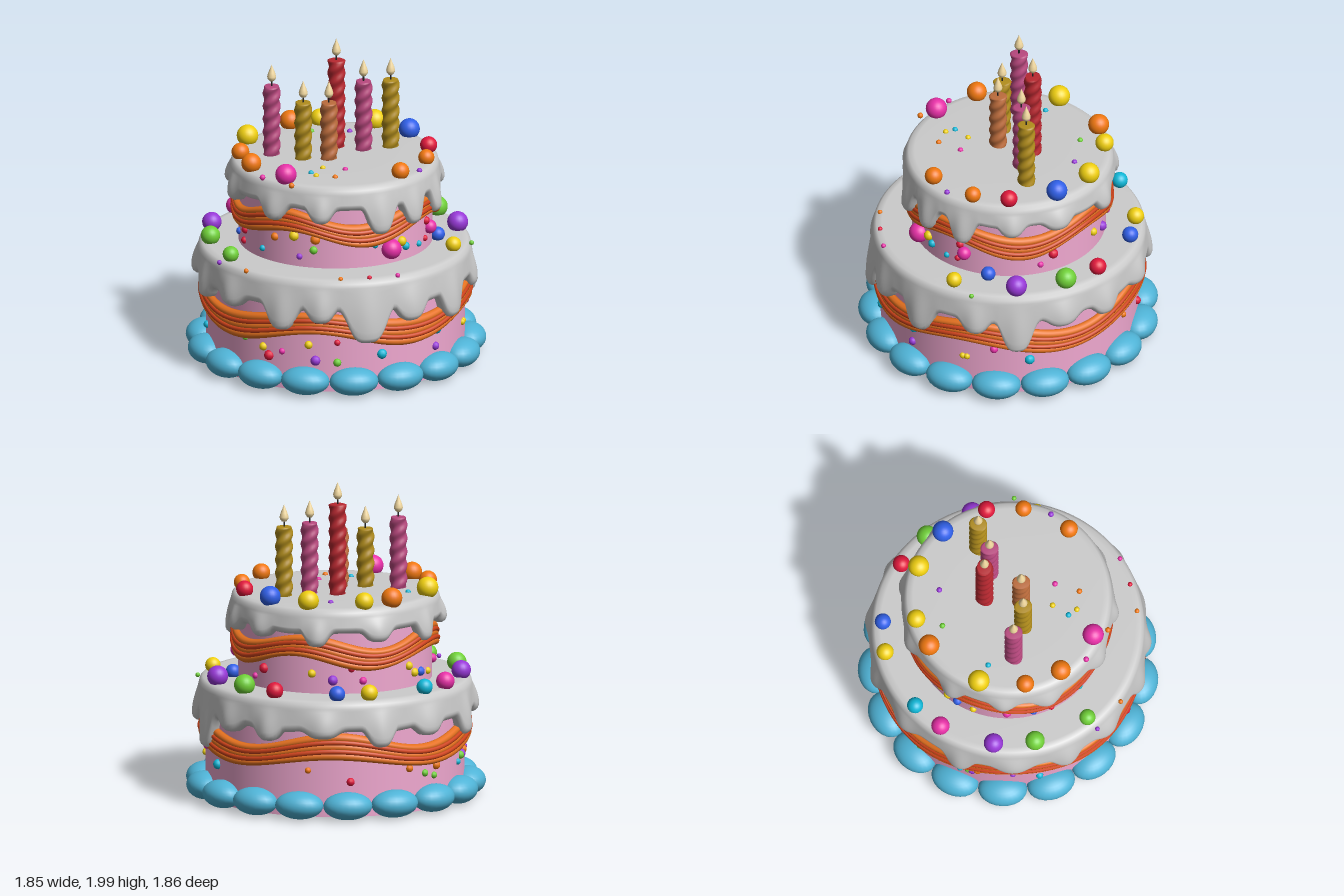
import * as THREE from 'three';

const C = { pink: 0xf0a8d0, icing: 0xcccccc, bead: 0x4fb3d6, ribbon: 0xe67220, stripe: 0xd2441c,
  r: 0xe0183c, o: 0xf07810, y: 0xf0d010, g: 0x70d038, b: 0x3060e8, p: 0x9838d8, m: 0xe830a8, c: 0x10b8d8,
  plum: 0xb8487e, gold: 0xb08c1c, copper: 0xbc6c3c, red: 0xb82830, flame: 0xf2d9a0, wick: 0x222222 };
const mats = {};
const mat = (k) => (mats[k] ??= new THREE.MeshStandardMaterial({ color: C[k] }));
const rad = THREE.MathUtils.degToRad;

function add(parent, name, geo, key, x = 0, y = 0, z = 0) {
  const m = new THREE.Mesh(geo, mat(key));
  m.name = name;
  m.position.set(x, y, z);
  parent.add(m);
  return m;
}

// Sweeps section(angle) -> [[radius, y], ...] round the y axis, angle 0 facing +z
function sweep(section, n, closed = false) {
  const pos = [], idx = [];
  let k = 0;
  for (let i = 0; i < n; i++) {
    const a = (i / n) * Math.PI * 2, pts = section(a);
    k = pts.length;
    for (const [r, y] of pts) pos.push(Math.sin(a) * r, y, Math.cos(a) * r);
  }
  for (let i = 0; i < n; i++) for (let j = 0; j < (closed ? k : k - 1); j++) {
    const a = i * k + j, b = i * k + (j + 1) % k;
    const c = ((i + 1) % n) * k + j, d = ((i + 1) % n) * k + (j + 1) % k;
    idx.push(a, b, c, b, d, c);
  }
  const g = new THREE.BufferGeometry();
  g.setAttribute('position', new THREE.Float32BufferAttribute(pos, 3));
  g.setIndex(idx);
  g.computeVertexNormals();
  return g;
}

// Icing cap: flat top, rounded rim and a hem pulled down by drips [degrees, tip y, half width in degrees]
function icing(R, top, hem, drips) {
  return sweep((a) => {
    let low = hem + 0.012 * Math.sin(a * 7 + 1), bulge = 0;
    for (const [deg, tip, w] of drips) {
      const d = Math.atan2(Math.sin(a - rad(deg)), Math.cos(a - rad(deg))) / rad(w);
      low = Math.min(low, hem - (hem - tip) * Math.exp(-(d ** 4)));
      bulge = Math.max(bulge, Math.exp(-d * d * 1.5));
    }
    const rim = R + 0.045 + 0.006 * Math.sin(a * 3);
    const pts = [[0, top], [R * 0.5, top], [rim - 0.06, top], [rim - 0.025, top - 0.006], [rim - 0.006, top - 0.025]];
    for (let k = 0; k <= 8; k++) {
      const t = k / 8;
      pts.push([rim + t * 0.012 + bulge * 0.032 * Math.sin(t * Math.PI * 0.6),
        THREE.MathUtils.lerp(top - 0.05, low + 0.035, t)]);
    }
    const end = pts[pts.length - 1][0];
    pts.push([end - 0.008, low + 0.015], [end - 0.025, low + 0.002], [R + 0.01, low], [R - 0.02, low + 0.02]);
    return pts;
  }, 300);
}

// Pleated ribbon with two darker stripes set in its grooves
function ribbon(parent, R, yAt, height) {
  const g = new THREE.Group();
  g.name = 'ribbon';
  parent.add(g);
  const h = (a) => height * (1 + 0.12 * Math.sin(a * 5));
  add(g, 'ribbonFolds', sweep((a) => {
    const pts = [];
    for (let k = 0; k <= 18; k++) {
      const s = k / 18;
      pts.push([R + 0.012 + 0.012 * s + 0.022 * Math.sqrt(Math.abs(Math.sin(s * Math.PI * 3))), yAt(a) + h(a) * (0.5 - s)]);
    }
    pts.push([R - 0.02, yAt(a) - h(a) / 2], [R - 0.02, yAt(a) + h(a) / 2]);
    return pts;
  }, 160, true), 'ribbon');
  for (const s of [1 / 3, 2 / 3]) add(g, 'ribbonStripe', sweep((a) => {
    const pts = [];
    for (let k = 0; k < 8; k++) {
      const t = -k * Math.PI / 4;
      pts.push([R + 0.03 + 0.012 * s + 0.012 * Math.cos(t), yAt(a) + h(a) * (0.5 - s) + 0.015 * Math.sin(t)]);
    }
    return pts;
  }, 160, true), 'stripe');
}

// Twisted candle with wick and teardrop flame
function candle(parent, x, z, top, key) {
  const g = new THREE.Group();
  g.name = 'candle';
  g.position.set(x, 0, z);
  parent.add(g);
  const base = 1.27;
  add(g, 'candleStick', sweep((a) => {
    const pts = [[0, top], [0.044, top]];
    for (let k = 0; k <= 60; k++) {
      const y = top - 0.004 - (top - base) * k / 60;
      pts.push([0.051 + 0.005 * Math.sin(2 * a - y * 75), y]);
    }
    return pts;
  }, 24), key);
  add(g, 'wick', new THREE.CylinderGeometry(0.005, 0.005, 0.05, 8), 'wick', 0, top + 0.02, 0);
  const profile = [[0, 0], [0.015, 0.005], [0.026, 0.02], [0.028, 0.033], [0.021, 0.058], [0.01, 0.085], [0, 0.112]];
  add(g, 'flame', new THREE.LatheGeometry(profile.map((p) => new THREE.Vector2(...p)), 16), 'flame', 0, top + 0.028, 0);
}

export function createModel() {
  const cake = new THREE.Group();
  cake.name = 'cake';
  const sphere = new THREE.SphereGeometry(1, 24, 16), dot = new THREE.SphereGeometry(1, 10, 8);

  // Lower and upper sponge, icing and ribbon
  add(cake, 'lowerTier', new THREE.CylinderGeometry(0.8, 0.8, 0.7, 96), 'pink', 0, 0.37, 0);
  add(cake, 'upperTier', new THREE.CylinderGeometry(0.6, 0.6, 0.56, 96), 'pink', 0, 0.98, 0);
  add(cake, 'lowerIcing', icing(0.8, 0.755, 0.56, [[2, 0.35, 9], [22, 0.46, 7], [46, 0.4, 7], [72, 0.48, 6],
    [90, 0.36, 7], [110, 0.51, 7], [131, 0.49, 6], [155, 0.52, 7], [180, 0.46, 6], [204, 0.5, 7], [232, 0.44, 6],
    [255, 0.52, 8], [278, 0.47, 6], [299, 0.5, 7], [325, 0.42, 7], [342, 0.48, 6]]), 'icing');
  add(cake, 'upperIcing', icing(0.6, 1.295, 1.14, [[14, 0.98, 8], [36, 1.0, 7], [60, 1.0, 7], [88, 1.08, 7],
    [115, 1.09, 8], [150, 1.06, 7], [185, 1.08, 8], [220, 1.04, 7], [250, 1.09, 7], [275, 1.07, 8],
    [312, 1.05, 8], [340, 1.06, 7]]), 'icing');
  ribbon(cake, 0.8, (a) => 0.42 - 0.045 * Math.cos(4 * (a - rad(25))), 0.15);
  ribbon(cake, 0.6, (a) => 1.01 - 0.045 * Math.cos(4 * (a - rad(5))), 0.14);

  // Bead border round the foot
  for (let i = 0; i < 17; i++) {
    const a = rad(-3.6) + (i / 17) * Math.PI * 2;
    const m = add(cake, 'borderBead', sphere, 'bead', Math.sin(a) * 0.82, 0.092, Math.cos(a) * 0.82);
    m.scale.set(0.152, 0.086, 0.112);
    m.rotation.y = a;
  }

  // Candles: x, z, top
  [[-0.385, -0.085, 1.74, 'plum'], [-0.21, 0.03, 1.66, 'gold'], [-0.055, 0.065, 1.66, 'copper'],
    [0.035, -0.145, 1.86, 'red'], [0.19, -0.065, 1.74, 'plum'], [0.365, -0.085, 1.73, 'gold']]
    .forEach((c) => candle(cake, ...c));

  // Sweets: x, z, radius, colour; they rest on a surface at the given height
  const sweets = (y, list) => list.forEach(([x, z, r, k]) =>
    add(cake, 'sweet', sphere, k, x, y + r * 0.6, z).scale.setScalar(r));
  sweets(1.295, [[-0.17, -0.565, 0.065, 'o'], [0.02, -0.59, 0.057, 'y'], [0.345, -0.475, 0.065, 'y'],
    [0.52, -0.265, 0.065, 'b'], [-0.485, -0.34, 0.067, 'y'], [-0.585, -0.07, 0.055, 'o'],
    [-0.565, 0.165, 0.062, 'o'], [-0.4, 0.425, 0.066, 'm'], [0.31, 0.485, 0.055, 'o'],
    [0.52, 0.255, 0.05, 'o'], [0.58, 0.035, 0.053, 'r']]);
  sweets(0.76, [[0.055, -0.78, 0.053, 'y'], [0.25, -0.735, 0.05, 'b'], [0.58, -0.515, 0.053, 'r'],
    [0.705, -0.31, 0.065, 'g'], [0.77, 0, 0.065, 'p'], [0.665, 0.38, 0.048, 'y'], [-0.72, 0.29, 0.05, 'g'],
    [-0.775, -0.065, 0.06, 'g'], [-0.715, -0.315, 0.06, 'p'], [-0.51, -0.595, 0.057, 'm'],
    [-0.335, -0.705, 0.05, 'c'], [0.61, 0.165, 0.045, 'b']]);
  sweets(0.815, [[0.235, 0.57, 0.063, 'm']]);
  sweets(0.865, [[0.53, 0.31, 0.043, 'm']]);

  // Sprinkles on the icing tops
  const sprinkle = (x, y, z, r, k) => add(cake, 'sprinkle', dot, k, x, y, z).scale.setScalar(r);
  [[-0.06, -0.445, 'g'], [0.17, -0.395, 'p'], [-0.39, -0.25, 'c'], [-0.13, 0.245, 'y'], [0, 0.3, 'm'],
    [-0.22, 0.32, 'c'], [-0.2, 0.38, 'y'], [-0.09, 0.43, 'o'], [-0.385, 0.525, 'o'], [0.445, 0.41, 'p'],
    [-0.53, 0.34, 'm']].forEach(([x, z, k]) => sprinkle(x, 1.295, z, 0.018, k));
  [[-0.13, 0.79, 'o'], [0.23, 0.79, 'm'], [-0.67, 0.52, 'o'], [0.05, 0.8, 'r'], [0.8, 0.28, 'g'],
    [-0.8, 0.33, 'p']].forEach(([x, z, k]) => sprinkle(x, 0.755, z, 0.015, k));

  // Sprinkles on the front and left walls: offset along the wall, y, colour
  const wall = (R, list, side) => list.forEach(([u, y, k], i) => {
    const w = Math.sqrt(R * R - u * u);
    sprinkle(side ? w : u, y, side ? u : w, 0.02 + 0.006 * (i % 3), k);
  });
  wall(0.8, [[-0.66, 0.3, 'g'], [-0.57, 0.27, 'y'], [-0.54, 0.22, 'r'], [-0.47, 0.26, 'm'], [-0.32, 0.32, 'y'],
    [-0.28, 0.22, 'p'], [-0.15, 0.34, 'r'], [-0.15, 0.21, 'g'], [0.13, 0.25, 'c'], [0.36, 0.32, 'g'],
    [0.5, 0.22, 'p'], [0.51, 0.33, 'c'], [0.74, 0.26, 'y']]);
  wall(0.6, [[-0.52, 0.82, 'c'], [-0.46, 0.92, 'o'], [-0.36, 0.95, 'y'], [-0.33, 0.82, 'p'], [-0.25, 0.87, 'g'],
    [-0.24, 0.94, 'o'], [0.13, 0.89, 'c'], [0.34, 0.84, 'c'], [0.31, 0.88, 'y'], [0.49, 0.83, 'r'], [0.5, 0.94, 'r']]);
  wall(0.8, [[0.33, 0.26, 'y'], [0.14, 0.34, 'm'], [-0.08, 0.26, 'c'], [-0.68, 0.31, 'o'], [-0.78, 0.24, 'r']], true);
  wall(0.6, [[0.41, 0.82, 'c'], [0, 0.94, 'c'], [-0.24, 0.88, 'r'], [-0.16, 0.82, 'm'], [-0.5, 0.88, 'y'],
    [-0.56, 0.84, 'p']], true);

  // Scattered sprinkles on the remaining walls
  let seed = 7;
  const rnd = () => (seed = (seed * 16807) % 2147483647) / 2147483647;
  for (let i = 0; i < 20; i++) {
    const a = rad(170 + 120 * rnd()), low = i % 2, R = low ? 0.8 : 0.6;
    sprinkle(Math.sin(a) * R, (low ? 0.21 : 0.8) + 0.12 * rnd(), Math.cos(a) * R, 0.018 + 0.012 * rnd(), 'royg bpmc'.replace(' ', '')[i % 8]);
  }
  return cake;
}
